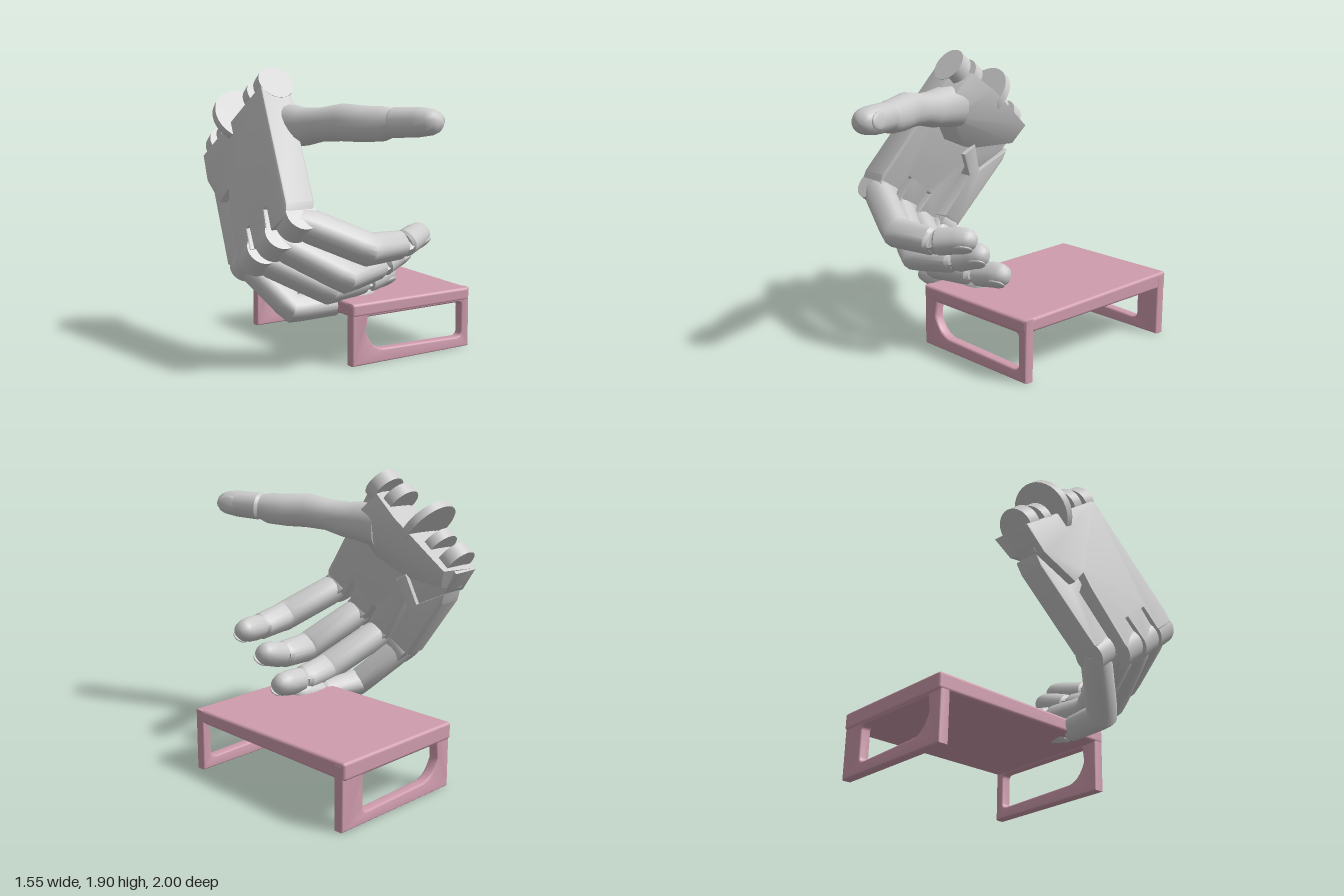
import * as THREE from 'three';
import { toCreasedNormals } from 'three/addons/utils/BufferGeometryUtils.js';
import { RoundedBoxGeometry } from 'three/addons/geometries/RoundedBoxGeometry.js';
import { ConvexGeometry } from 'three/addons/geometries/ConvexGeometry.js';

const grey = new THREE.MeshStandardMaterial({ color: 0xcccccc });
const pink = new THREE.MeshStandardMaterial({ color: 0xcf9cad });
const V = (x, y, z) => new THREE.Vector3(x, y, z);
const UP = V(0, 1, 0);
const ACROSS = V(0, -0.63, -0.78).normalize(); // runs across the palm, thumb side to little finger
const backX = (z, y) => -0.909 + 0.185 * y - 0.011 * z; // leaning plane of the back of the hand
const onPalm = (z, y, t) => V(backX(z, y) + t, y, z);

function mesh(name, geometry, material = grey) {
  const m = new THREE.Mesh(geometry, material);
  m.name = name;
  return m;
}

// Plate outlined in (z, y), thickened towards +x and sheared onto the palm plane
function palmPlate(name, outline, t0, t1) {
  const b = 0.012;
  const shape = new THREE.Shape(outline.map(([z, y]) => new THREE.Vector2(-z, y)));
  const g = new THREE.ExtrudeGeometry(shape, {
    depth: t1 - t0 - 2 * b, bevelThickness: b, bevelSize: b, bevelOffset: -b, bevelSegments: 2,
  });
  g.rotateY(Math.PI / 2);
  const p = g.attributes.position;
  for (let i = 0; i < p.count; i++) {
    p.setX(i, p.getX(i) + t0 + b + backX(p.getZ(i), p.getY(i)));
  }
  return mesh(name, toCreasedNormals(g, 0.5));
}

// Closed loft with squarish rings; each station is [centre, half width, half height]
function loft(name, stations, ref, square = 0.72, sides = 16) {
  const pos = [], idx = [], n = stations.length;
  stations.forEach(([c, w, h], i) => {
    const T = stations[Math.min(i + 1, n - 1)][0].clone().sub(stations[Math.max(i - 1, 0)][0]).normalize();
    const B = T.clone().cross(ref).normalize();
    const N = T.clone().cross(B);
    for (let j = 0; j < sides; j++) {
      const a = ((j + 0.5) / sides) * Math.PI * 2;
      const f = (s) => Math.sign(s) * Math.abs(s) ** square;
      const p = c.clone().addScaledVector(B, f(Math.cos(a)) * w).addScaledVector(N, f(Math.sin(a)) * h);
      pos.push(p.x, p.y, p.z);
    }
  });
  for (let i = 0; i < n - 1; i++) {
    for (let j = 0; j < sides; j++) {
      const k = (j + 1) % sides;
      const a = i * sides + j, b = i * sides + k, c = b + sides, d = a + sides;
      idx.push(a, b, d, b, c, d);
    }
  }
  for (let j = 1; j < sides - 1; j++) {
    const e = (n - 1) * sides;
    idx.push(0, j + 1, j, e, e + j, e + j + 1);
  }
  const g = new THREE.BufferGeometry();
  g.setAttribute('position', new THREE.Float32BufferAttribute(pos, 3));
  g.setIndex(idx);
  return mesh(name, toCreasedNormals(g, 0.6));
}

// Round-ended end joint from a to b
function tipJoint(name, a, b, w, h, ref) {
  const steps = [[0, 0.8], [0.06, 1], [0.55, 0.97], [0.78, 0.86], [0.9, 0.68], [0.97, 0.4], [1, 0.08]];
  return loft(name, steps.map(([f, s]) => [a.clone().lerp(b, f), w * s, h * s]), ref, 0.85);
}

// Thin oval nail lying on an end joint, facing dir
function nail(a, b, r, dir) {
  const T = b.clone().sub(a).normalize();
  const out = dir.clone().addScaledVector(T, -dir.dot(T)).normalize();
  const m = mesh('nail', new THREE.SphereGeometry(1, 16, 10));
  m.scale.set(r * 0.62, r * 0.2, r * 0.95);
  m.quaternion.setFromRotationMatrix(new THREE.Matrix4().makeBasis(out.clone().cross(T), out, T));
  m.position.copy(a).lerp(b, 0.66).addScaledVector(out, r * 0.83);
  return m;
}

// Disc whose axis runs across the palm
function disc(name, centre, r, width) {
  const m = mesh(name, toCreasedNormals(new THREE.CylinderGeometry(r, r, width, 32), 0.6));
  m.quaternion.setFromUnitVectors(UP, ACROSS);
  m.position.copy(centre);
  return m;
}

function finger(name, [k, m, d, t], r) {
  const g = new THREE.Group();
  g.name = name;
  const at = (a, b, f) => a.clone().lerp(b, f);
  g.add(disc('knuckle', k, r * 1.1, r * 1.65));
  g.add(loft('bentFinger', [
    [k, r * 0.85, r * 0.85], [at(k, m, 0.2), r, r], [at(k, m, 0.88), r, r], [m, r * 1.02, r],
    [at(m, d, 0.2), r * 0.96, r * 0.95], [at(m, d, 0.9), r * 0.88, r * 0.88], [at(m, d, 0.98), r * 0.7, r * 0.7],
  ], ACROSS));
  g.add(disc('endHinge', d, r * 0.68, r * 0.9));
  g.add(tipJoint('fingertip', at(d, t, 0.04), t, r * 0.88, r * 0.84, ACROSS));
  g.add(nail(d, t, r * 0.85, V(0.1, -0.78, 0.63)));
  return g;
}

function buildHand() {
  const hand = new THREE.Group();
  hand.name = 'hand';

  // Palm with slits between the fingers, and the separate little-finger plate
  hand.add(palmPlate('palm', [
    [-0.1, 1.8], [0.43, 1.12], [0.45, 1.05], [0.32, 0.95], [0.3, 0.94], [0.2, 1.07], [0.175, 1.05],
    [0.255, 0.92], [0.13, 0.8], [0.02, 0.93], [-0.005, 0.91], [0.085, 0.79],
    [-0.06, 0.69], [-0.28, 1.02], [-0.33, 1.12], [-0.42, 1.02], [-0.65, 1.14], [-0.77, 1.3],
  ], 0, 0.2));
  hand.add(palmPlate('littleFingerPlate', [
    [-0.25, 1.17], [-0.35, 1.23], [-0.42, 1.03], [-0.67, 1.15], [-0.64, 1.07],
    [-0.28, 0.63], [-0.13, 0.73], [-0.33, 1.0],
  ], 0.055, 0.23));

  // Fleshy heel of the palm below the thumb
  const heel = [
    [-0.16, 1.77, 0.05], [-0.76, 1.31, 0.05], [-0.67, 1.16, 0.05], [-0.02, 1.62, 0.1], [0.04, 1.45, 0.17],
    [-0.08, 1.27, 0.18], [-0.28, 1.2, 0.19], [-0.2, 1.76, 0.26], [-0.38, 1.63, 0.31], [-0.75, 1.33, 0.3],
    [-0.68, 1.2, 0.26], [-0.06, 1.64, 0.28], [-0.04, 1.47, 0.3],
  ];
  hand.add(mesh('palmHeel', toCreasedNormals(
    new ConvexGeometry(heel.map(([z, y, t]) => onPalm(z, y, t))), 0.5)));

  // Wrist hinge: lugs and one large disc
  [[-0.145, 1.785, 0.12, 0.12, 0.09], [-0.27, 1.71, 0.12, 0.12, 0.08], [-0.485, 1.57, 0.11, 0.2, 0.055],
    [-0.57, 1.45, 0.12, 0.12, 0.07], [-0.7, 1.37, 0.12, 0.12, 0.09]].forEach(([z, y, t, r, w]) => {
    hand.add(disc('wristLug', onPalm(z, y, t), r, w));
  });

  // Fingers: knuckle, middle joint, end joint, tip
  const fingers = {
    indexFinger: [V(-0.61, 1.0, 0.4), V(-0.2, 0.81, 0.56), V(0.1, 0.8, 0.5), V(0.36, 0.85, 0.38)],
    middleFinger: [V(-0.645, 0.855, 0.205), V(-0.24, 0.61, 0.38), V(0.07, 0.64, 0.3), V(0.31, 0.72, 0.24)],
    ringFinger: [V(-0.67, 0.735, 0.02), V(-0.24, 0.5, 0.18), V(0.06, 0.5, 0.12), V(0.33, 0.54, 0.07)],
    littleFinger: [V(-0.64, 0.65, -0.18), V(-0.45, 0.375, 0.07), V(-0.12, 0.38, 0.11), V(0.15, 0.43, 0.1)],
  };
  for (const [name, joints] of Object.entries(fingers)) {
    hand.add(finger(name, joints, name === 'littleFinger' ? 0.088 : 0.097));
  }

  // Thumb
  const thumb = new THREE.Group();
  thumb.name = 'thumb';
  thumb.add(loft('thumbShaft', [
    [V(-0.44, 1.53, -0.14), 0.13, 0.15], [V(-0.41, 1.54, 0), 0.125, 0.135], [V(-0.38, 1.54, 0.12), 0.115, 0.12],
    [V(-0.34, 1.56, 0.25), 0.105, 0.105], [V(-0.28, 1.58, 0.4), 0.11, 0.115], [V(-0.21, 1.575, 0.53), 0.108, 0.11],
    [V(-0.15, 1.58, 0.64), 0.1, 0.105], [V(-0.12, 1.59, 0.7), 0.085, 0.085],
  ], UP, 0.9, 20));
  const a = V(-0.12, 1.59, 0.69), b = V(0.015, 1.605, 1.0);
  thumb.add(tipJoint('thumbTip', a, b, 0.1, 0.092, UP));
  thumb.add(nail(a, b, 0.095, V(1, 0.1, 0.2)));
  hand.add(thumb);
  return hand;
}

// Rectangular end frame with a lumpy rounded opening between x0 and x1
function legFrame(z, x0, x1) {
  const frame = new THREE.Shape([[-0.165, 0.02], [0.76, 0.02], [0.76, 0.405], [-0.165, 0.405]]
    .map(([x, y]) => new THREE.Vector2(x, y)));
  const hole = new THREE.Path();
  hole.moveTo(x0 + 0.015, 0.335);
  hole.lineTo(x0, 0.22);
  hole.quadraticCurveTo(x0 + 0.045, 0.1, x0 + 0.145, 0.085);
  hole.lineTo(x1 - 0.06, 0.07);
  hole.quadraticCurveTo(x1, 0.07, x1, 0.12);
  hole.lineTo(x1, 0.29);
  hole.quadraticCurveTo(x1, 0.335, x1 - 0.05, 0.335);
  frame.holes.push(hole);
  const g = new THREE.ExtrudeGeometry(frame, {
    depth: 0.045, bevelThickness: 0.013, bevelSize: 0.012, bevelSegments: 3, curveSegments: 8,
  });
  const leg = mesh('legFrame', toCreasedNormals(g, 0.6), pink);
  leg.position.z = z;
  return leg;
}

function buildTable() {
  const table = new THREE.Group();
  table.name = 'table';
  // Top surface rises slightly towards the back
  const g = new RoundedBoxGeometry(0.95, 0.088, 1.35, 3, 0.02);
  const p = g.attributes.position;
  for (let i = 0; i < p.count; i++) {
    if (p.getY(i) > 0) p.setY(i, p.getY(i) + 0.018 * (0.675 - p.getZ(i)));
  }
  const top = mesh('tableTop', g, pink);
  top.position.set(0.295, 0.374, -0.315);
  table.add(top, legFrame(0.298, -0.085, 0.72), legFrame(-0.965, -0.085, 0.61));
  return table;
}

export function createModel() {
  const model = new THREE.Group();
  model.name = 'handAndTable';
  model.add(buildHand(), buildTable());
  return model;
}
